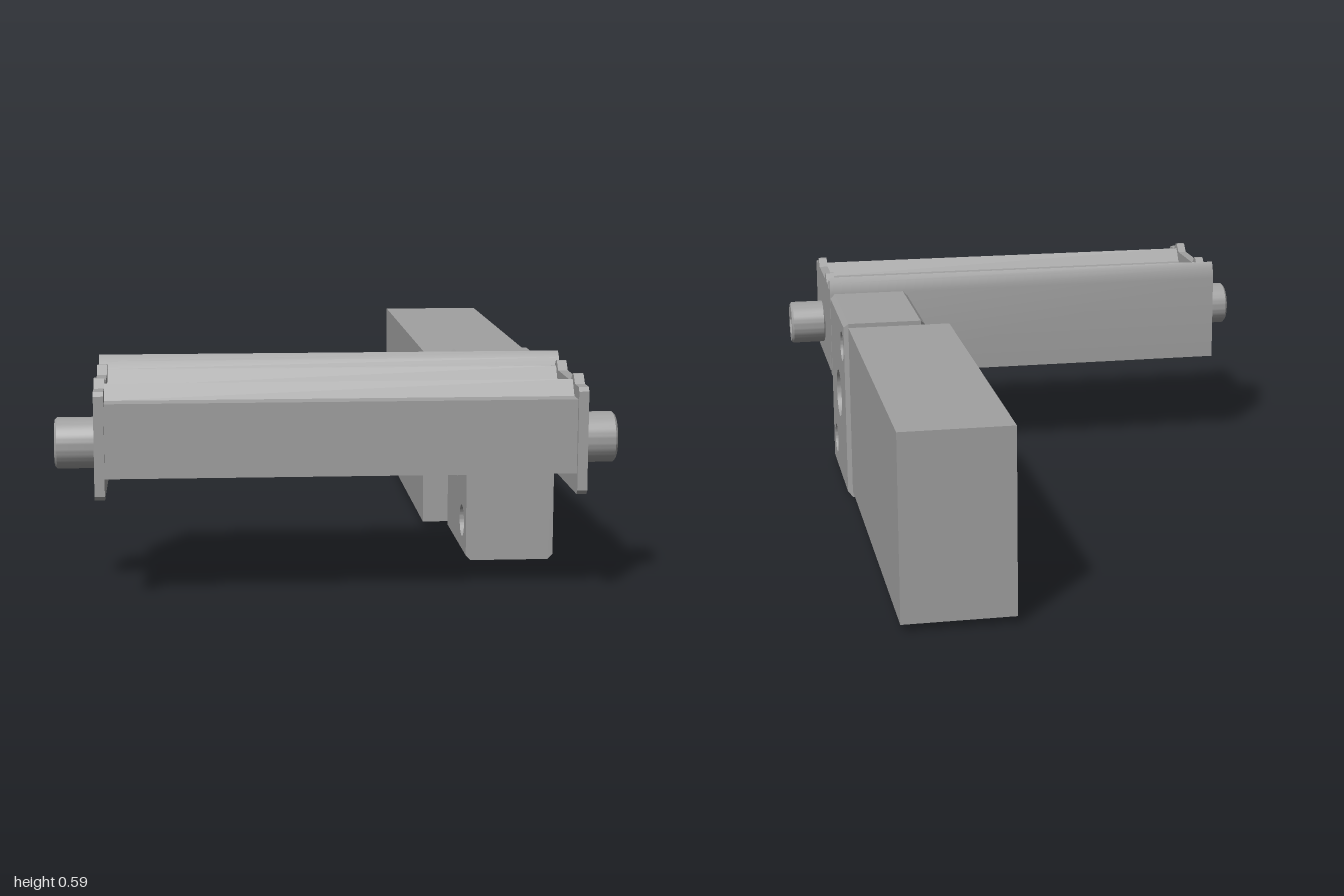
import * as THREE from 'three';
import { toCreasedNormals } from 'three/addons/utils/BufferGeometryUtils.js';

const metal = new THREE.MeshStandardMaterial({ color: 0xa0a0a0 });
metal.name = 'grey metal';

// Shape from [z, y] points, to be extruded along x
const profile = (points) => new THREE.Shape(points.map(([z, y]) => new THREE.Vector2(-z, y)));

const extrude = (shape, depth, options = {}) =>
  new THREE.ExtrudeGeometry(shape, { depth, bevelEnabled: false, curveSegments: 32, ...options });

// Turn an extrusion so that its depth runs along +x from x0
const alongX = (geometry, x0) => toCreasedNormals(geometry.rotateY(Math.PI / 2).translate(x0, 0, 0), 0.5);

function add(parent, name, geometry) {
  const mesh = new THREE.Mesh(geometry, metal);
  mesh.name = name;
  parent.add(mesh);
  return mesh;
}

// Bracket block with three through holes and chamfered outer edges
function bracketGeometry() {
  const x0 = 0.382, x1 = 0.627, c = 0.014, front = 0.533;
  const shape = profile([[front, 0], [0.12, 0], [0.12, 0.542], [front, 0.542]]);
  const holes = [[0.2, 0.455, 0.045], [0.325, 0.275, 0.073], [0.445, 0.095, 0.045]];
  for (const [z, y, r] of holes) {
    shape.holes.push(new THREE.Path().absarc(-z, y, r, 0, Math.PI * 2, true));
  }
  const geometry = extrude(shape, x1 - x0 - 2 * c, {
    bevelEnabled: true, bevelSegments: 1, bevelSize: c, bevelThickness: c, bevelOffset: -c,
  });
  // Keep the holes straight and the front mounting face square
  const p = geometry.attributes.position;
  for (let i = 0; i < p.count; i++) {
    for (const [z, y, r] of holes) {
      const dx = p.getX(i) + z, dy = p.getY(i) - y, d = Math.hypot(dx, dy);
      if (d < r + c + 0.004) p.setXY(i, -z + (dx * r) / d, y + (dy * r) / d);
    }
    if (p.getX(i) < -front + c + 0.002) p.setX(i, -front);
  }
  return alongX(geometry, x0 + c);
}

// Socket head screw pointing along +x, with a hexagonal recess
function socketScrew() {
  const group = new THREE.Group();
  const r = 0.067, length = 0.11, bevel = 0.006, recess = 0.05;
  const ring = new THREE.Shape().absarc(0, 0, r, 0, Math.PI * 2, false);
  const hex = [];
  for (let i = 0; i < 6; i++) {
    const a = (-i * Math.PI) / 3;
    hex.push(new THREE.Vector2(Math.cos(a) * 0.038, Math.sin(a) * 0.038));
  }
  ring.holes.push(new THREE.Path(hex));
  const head = extrude(ring, length - 2 * bevel, {
    bevelEnabled: true, bevelSegments: 1, bevelSize: bevel, bevelThickness: bevel, bevelOffset: -bevel,
  });
  add(group, 'screwHead', alongX(head, bevel));
  const core = new THREE.CylinderGeometry(0.05, 0.05, length - recess, 24).rotateZ(-Math.PI / 2);
  add(group, 'socketFloor', core.translate((length - recess) / 2, 0, 0));
  return group;
}

export function createModel() {
  const model = new THREE.Group();
  model.name = 'beamAssembly';

  // Long rear block
  const rear = new THREE.BoxGeometry(0.304, 0.51, 1.118);
  add(model, 'rearBlock', rear.translate(0.462, 0.275, -0.441));

  add(model, 'bracket', bracketGeometry());

  // Cross beam with two ridges along its top
  const beam = profile([
    [0.54, 0.335], [0.99, 0.335], [0.99, 0.527], [0.936, 0.527], [0.907, 0.567], [0.878, 0.527],
    [0.695, 0.527], [0.668, 0.567], [0.639, 0.527], [0.54, 0.527],
  ]);
  add(model, 'crossBeam', alongX(extrude(beam, 1.21), -0.605));

  // Full-length back plate with a hooked lip
  const rail = profile([
    [0.533, 0.277], [0.563, 0.277], [0.563, 0.335], [0.588, 0.335], [0.588, 0.546], [0.578, 0.556],
    [0.568, 0.576], [0.55, 0.592], [0.54, 0.575], [0.533, 0.54],
  ]);
  add(model, 'backRail', alongX(extrude(rail, 1.256), -0.628));

  // End plates with matching ridges, and a screw through each
  const plate = profile([
    [0.588, 0.281], [0.99, 0.281], [1, 0.292], [1, 0.548], [0.99, 0.559], [0.94, 0.559],
    [0.918, 0.582], [0.905, 0.582], [0.88, 0.559], [0.7, 0.559], [0.678, 0.582], [0.665, 0.582],
    [0.642, 0.559], [0.6, 0.559], [0.588, 0.548],
  ]);
  for (const side of [1, -1]) {
    const name = side > 0 ? 'left' : 'right';
    add(model, name + 'EndPlate', alongX(extrude(plate, 0.026), side > 0 ? 0.602 : -0.628));
    const screw = socketScrew();
    screw.name = name + 'Screw';
    screw.position.set(side * 0.626, 0.395, 0.795);
    if (side < 0) screw.rotation.y = Math.PI;
    model.add(screw);
  }
  return model;
}
